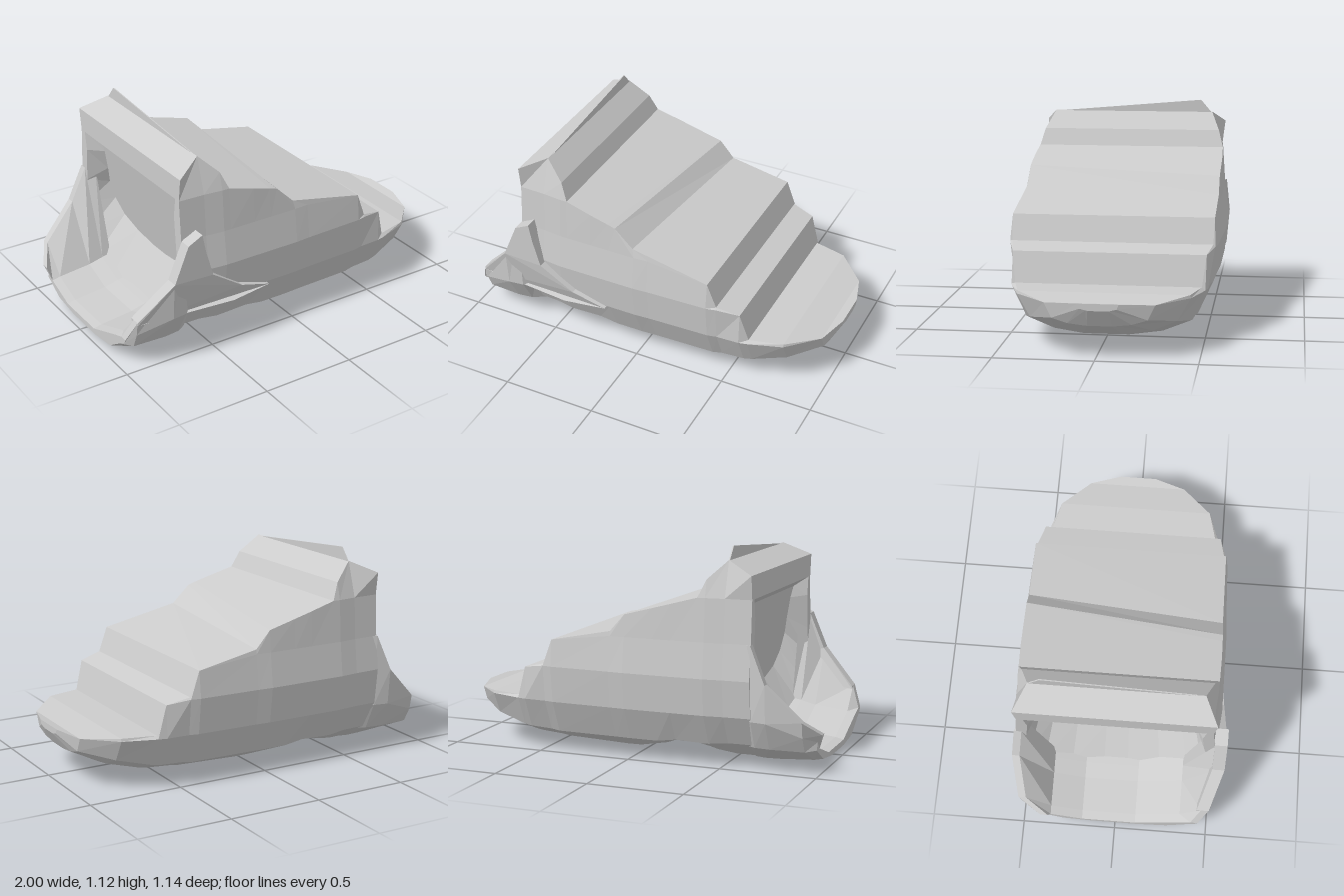
import * as THREE from 'three';

const grey = new THREE.MeshStandardMaterial({ color: 0xcccccc, flatShading: true });
grey.name = 'plain grey';

// Joins closed rings of [x, y, z] points into a skin, with optional end caps.
function loft(rings, { flip = false, capStart = false, capEnd = false } = {}) {
  const out = [];
  const tri = (a, b, c) => {
    const t = flip ? [a, c, b] : [a, b, c];
    const [p, q, r] = t.map(v => new THREE.Vector3(...v));
    if (q.sub(p).cross(r.sub(p)).length() > 1e-7) out.push(...t.flat());
  };
  const n = rings[0].length;
  for (let s = 0; s + 1 < rings.length; s++) {
    for (let i = 0; i < n; i++) {
      const j = (i + 1) % n;
      const a = rings[s][i], b = rings[s][j], c = rings[s + 1][i], d = rings[s + 1][j];
      tri(a, c, d);
      tri(a, d, b);
    }
  }
  const cap = (ring, end) => {
    const pts = ring.map(p => new THREE.Vector2(p[2], p[1]));
    for (const [a, b, c] of THREE.ShapeUtils.triangulateShape(pts, [])) {
      // orient each triangle along x, away from the body
      const area = (pts[b].x - pts[a].x) * (pts[c].y - pts[a].y) - (pts[c].x - pts[a].x) * (pts[b].y - pts[a].y);
      if ((area > 0) === end) tri(ring[a], ring[c], ring[b]);
      else tri(ring[a], ring[b], ring[c]);
    }
  };
  if (capStart) cap(rings[0], false);
  if (capEnd) cap(rings[rings.length - 1], true);
  const g = new THREE.BufferGeometry();
  g.setAttribute('position', new THREE.Float32BufferAttribute(out, 3));
  g.computeVertexNormals();
  return g;
}

// Upper stations: x, top height, top half width, sole height, width scale, sole edge height,
// and how far the left top corner is skewed back
const stations = [
  [-0.67, 0.99, 0.515, 0.005, 0.97, 0.13],
  [-0.53, 1.055, 0.445, 0.005, 0.98, 0.13],
  [-0.43, 0.96, 0.49, 0.03, 1, 0.12],
  [-0.39, 0.87, 0.515, 0.045, 1, 0.12],
  [-0.25, 0.832, 0.52, 0.1, 1, 0.125],
  [-0.15, 0.805, 0.52, 0.05, 1, 0.11],
  [0, 0.765, 0.52, 0.012, 1, 0.11, 0.11],
  [0.08, 0.675, 0.52, 0.01, 0.99, 0.11, 0.09],
  [0.41, 0.61, 0.52, 0.025, 0.97, 0.11],
  [0.46, 0.48, 0.515, 0.03, 0.95, 0.115],
  [0.58, 0.45, 0.49, 0.04, 0.94, 0.12],
  [0.625, 0.295, 0.47, 0.045, 0.92, 0.125],
  [0.8, 0.295, 0.425, 0.09, 0.81, 0.165],
  [0.95, 0.275, 0.27, 0.165, 0.52, 0.2],
  [1, 0.285, 0.1, 0.25, 0.2, 0.26],
];
const lean = -0.018; // the upper sits slightly to its right

// Bulging cross-section of the upper; the insets shape the mouth of the cavity.
function upperRing([x, top, wt, bot, k, edge, skew = 0], inset = 0, topInset = 0) {
  const half = [[0.12, bot], [0.3, bot + (edge - bot) * 0.3], [0.45, edge], [0.53, 0.28],
    [0.553, 0.47], [0.53, 0.65], [0.515, 0.87], [wt, top]]
    .map(([z, y]) => (y >= top - 0.005 ? [wt, top] : [z * k, y]))
    .map(([z, y]) => [Math.max(z - inset, 0.05), bot + inset + (y - bot) * (top - bot - inset - topInset) / (top - bot)]);
  const left = half.map(([z, y]) => (y === top ? [x - skew, y + skew * 0.25, z + lean] : [x, y, z + lean]));
  return [...left, ...half.reverse().map(([z, y]) => [x, y, lean - z])];
}

// Heel stations: x, left rim z and y, right rim z and y, sole height, floor height, sole edge z
const heelStations = [
  [-0.975, 0.45, 0.17, 0.4, 0.2, 0.03, 0.06, 0.39],
  [-0.93, 0.5, 0.28, 0.52, 0.28, 0.02, 0.07, 0.45],
  [-0.75, 0.56, 0.47, 0.56, 0.46, 0.008, 0.09, 0.46],
  [-0.67, 0.55, 0.66, 0.545, 0.65, 0.006, 0.11, 0.45],
  [-0.62, 0.5, 0.68, 0.52, 0.65, 0.01, 0.12, 0.42],
];

function heelRing([x, zl, yl, zr, yr, bot, floor, edge]) {
  const shoulder = y => Math.min(0.265, (0.12 + y) / 2);
  const ring = [[-zr, yr], [-zr * 0.97, shoulder(yr)], [-edge - 0.01, 0.12], [-0.28, bot + 0.02], [-0.12, bot],
    [0.12, bot], [0.28, bot + 0.02], [edge, 0.12], [zl * 0.97, shoulder(yl)], [zl, yl],
    [zl - 0.04, yl], [0.35, floor + 0.09], [0.11, floor], [-0.18, floor], [-0.35, floor + 0.06], [-zr + 0.04, yr]];
  return ring.map(([z, y]) => [y === yr && z < 0 && x < -0.95 ? -1 : x, y, z]);
}

export function createModel() {
  const model = new THREE.Group();
  model.name = 'slipper';
  const add = (name, geometry) => {
    const mesh = new THREE.Mesh(geometry, grey);
    mesh.name = name;
    model.add(mesh);
  };

  // Stepped upper with toe and sole
  const outer = stations.map(s => upperRing(s));
  add('upper', loft(outer, { capEnd: true }));

  // Shallow foot opening: the floor climbs to a back wall that leans toward the heel
  const mouth = upperRing(stations[0], 0.05, 0.12);
  const backWall = mouth.map(([, y, z]) => {
    const t = (y - 0.055) / 0.815;
    return [-0.5 - 0.1 * t, 0.32 + 0.5 * t, lean + (z - lean) * 0.9];
  });
  add('cavity', loft([mouth, backWall], { flip: true, capEnd: true }));
  add('openingRim', loft([mouth, outer[0]]));

  // Scooped heel tray
  add('heel', loft(heelStations.map(heelRing), { capStart: true, capEnd: true }));

  // Raised flange on the left side, tapering into the heel and forward into the upper
  const outline = [[-0.93, 0.265], [-0.4, 0.265], [-0.17, 0.275], [-0.35, 0.335], [-0.53, 0.46],
    [-0.57, 0.6], [-0.59, 0.7], [-0.67, 0.66], [-0.75, 0.47], [-0.93, 0.28]];
  const flange = new THREE.ExtrudeGeometry(new THREE.Shape(outline.map(p => new THREE.Vector2(...p))),
    { depth: 0.065, bevelEnabled: false }).translate(0, 0, 0.5);
  const pos = flange.attributes.position;
  for (let i = 0; i < pos.count; i++) {
    const x = pos.getX(i);
    pos.setZ(i, pos.getZ(i) - Math.max(0, x + 0.5) * 0.1 - Math.max(0, -0.75 - x) * 0.35);
  }
  flange.computeVertexNormals();
  add('sideFlange', flange);

  // Thin upright fin along the top ridge
  const fin = new THREE.Shape([[-0.42, 1.05], [0.46, 1.05], [0.4, 1.12]].map(p => new THREE.Vector2(...p)));
  add('ridgeFin', new THREE.ExtrudeGeometry(fin, { depth: 0.006, bevelEnabled: false })
    .rotateY(Math.PI / 2).translate(-0.533, 0, 0));

  return model;
}
